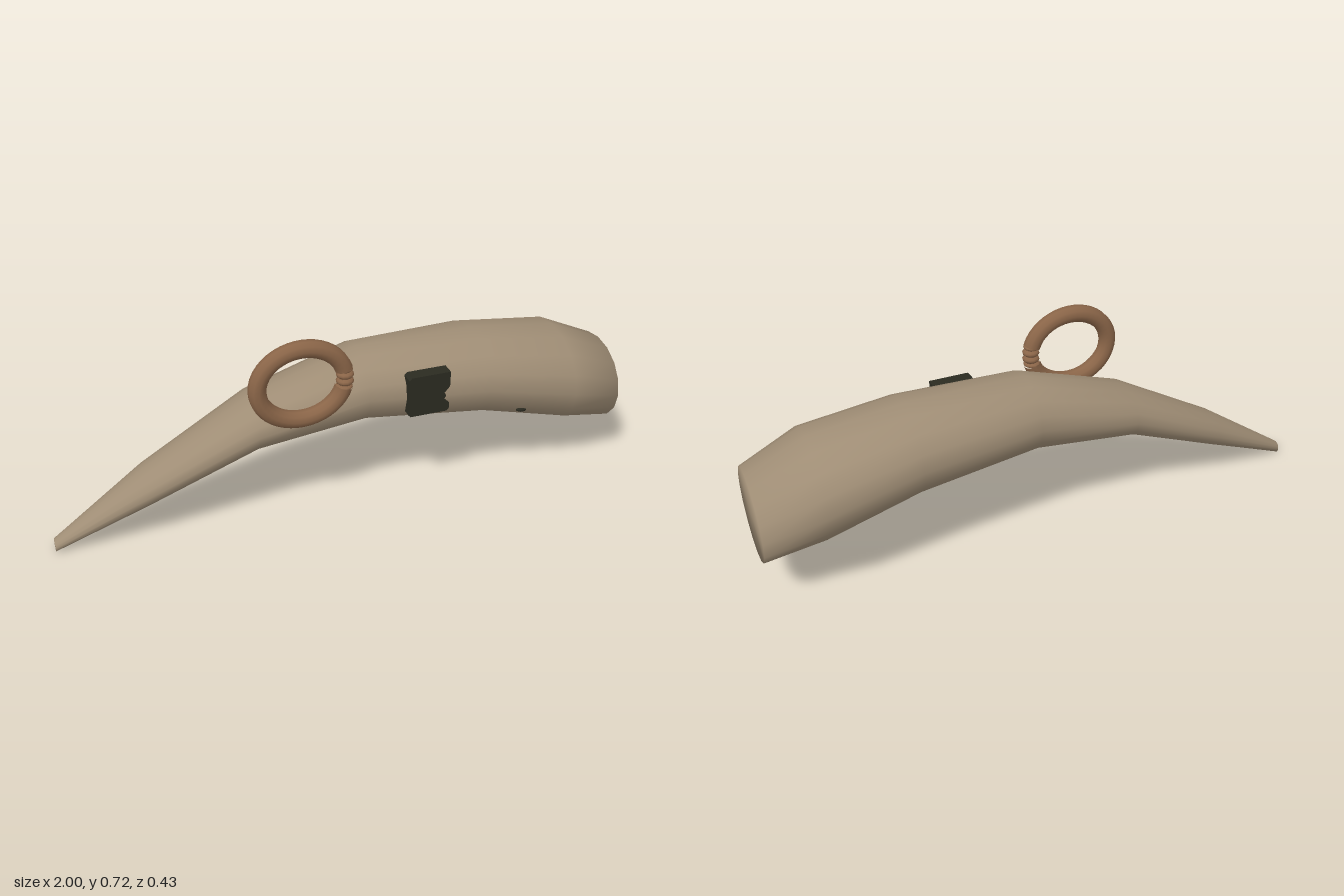
import * as THREE from 'three';

const material = (name, color) => {
  const m = new THREE.MeshStandardMaterial({ color });
  m.name = name;
  return m;
};

// Horn skin: elliptical sections along x, closed at both ends with shared normals
function hornGeometry(sections, sides) {
  const positions = [], index = [];
  for (const [x, low, high, halfWidth] of sections) {
    for (let j = 0; j < sides; j++) {
      const a = (j / sides) * Math.PI * 2;
      positions.push(x, (low + high) / 2 + Math.cos(a) * (high - low) / 2, Math.sin(a) * halfWidth);
    }
  }
  const last = sections.length - 1;
  for (const s of [sections[0], sections[last]]) positions.push(s[0], (s[1] + s[2]) / 2, 0);
  const tip = sections.length * sides, mouth = tip + 1;
  for (let j = 0; j < sides; j++) {
    const k = (j + 1) % sides;
    for (let i = 0; i < last; i++) {
      const a = i * sides, b = a + sides;
      index.push(a + j, a + k, b + j, a + k, b + k, b + j);
    }
    index.push(tip, k, j, mouth, last * sides + j, last * sides + k);
  }
  const g = new THREE.BufferGeometry();
  g.setAttribute('position', new THREE.Float32BufferAttribute(positions, 3));
  g.setIndex(index);
  g.computeVertexNormals();
  return g;
}

// Elliptical arc followed by the carrying ring
class RingCurve extends THREE.Curve {
  getPoint(t, target = new THREE.Vector3()) {
    const gap = 0.26, a = gap + t * (Math.PI * 2 - 2 * gap);
    return target.set(Math.cos(a) * 0.147, Math.sin(a) * 0.127, 0);
  }
}

export function createModel() {
  const model = new THREE.Group();
  const horn = material('horn', 0x9f8d75);
  const leather = material('ring brown', 0x8a6548);
  const dark = material('dark plate', 0x2b2b21);
  const add = (name, geometry, mat, parent = model) => {
    const mesh = new THREE.Mesh(geometry, mat);
    mesh.name = name;
    parent.add(mesh);
    return mesh;
  };

  // Curved horn: x, lowest y, highest y, half width
  add('hornBody', hornGeometry([
    [-1, 0, 0.045, 0.022],
    [-0.68, 0.133, 0.262, 0.087],
    [-0.31, 0.287, 0.468, 0.13],
    [0.06, 0.33, 0.587, 0.154],
    [0.48, 0.286, 0.587, 0.195],
    [0.8, 0.2, 0.545, 0.217],
    [1, 0.156, 0.457, 0.175],
  ], 16), horn);

  // Carrying ring with its beaded joint
  const ring = new THREE.Group();
  ring.name = 'carryingRing';
  ring.position.set(-0.176, 0.568, 0.152);
  model.add(ring);
  add('ringLoop', new THREE.TubeGeometry(new RingCurve(), 40, 0.03, 10), leather, ring);
  add('jointCore', new THREE.CylinderGeometry(0.02, 0.02, 0.07, 10), leather, ring).position.x = 0.145;
  for (const side of [-1, 1]) {
    const end = add('ringEnd', new THREE.SphereGeometry(0.03, 12, 8), leather, ring);
    end.position.set(0.142, side * 0.033, 0);
    end.scale.y = 0.35;
    const bead = add('jointBead', new THREE.SphereGeometry(0.03, 12, 8), leather, ring);
    bead.position.set(0.146, side * 0.012, 0);
    bead.scale.y = 0.5;
  }

  // Notched plate on the front flank
  const outline = new THREE.Shape();
  outline.moveTo(0.193, 0.386);
  [[0.322, 0.386], [0.331, 0.396], [0.331, 0.416], [0.312, 0.434], [0.319, 0.446], [0.312, 0.458],
    [0.331, 0.48], [0.331, 0.535], [0.193, 0.535], [0.184, 0.526], [0.184, 0.395]]
    .forEach(([x, y]) => outline.lineTo(x, y));
  add('notchedPlate', new THREE.ExtrudeGeometry(outline, { depth: 0.046, bevelEnabled: false }), dark)
    .position.z = 0.136;

  // Small peg low on the front flank
  const peg = add('smallPeg', new THREE.SphereGeometry(0.02, 10, 6), dark);
  peg.position.set(0.613, 0.325, 0.172);
  peg.scale.set(1, 0.4, 0.4);
  peg.rotation.z = -0.15;

  return model;
}
